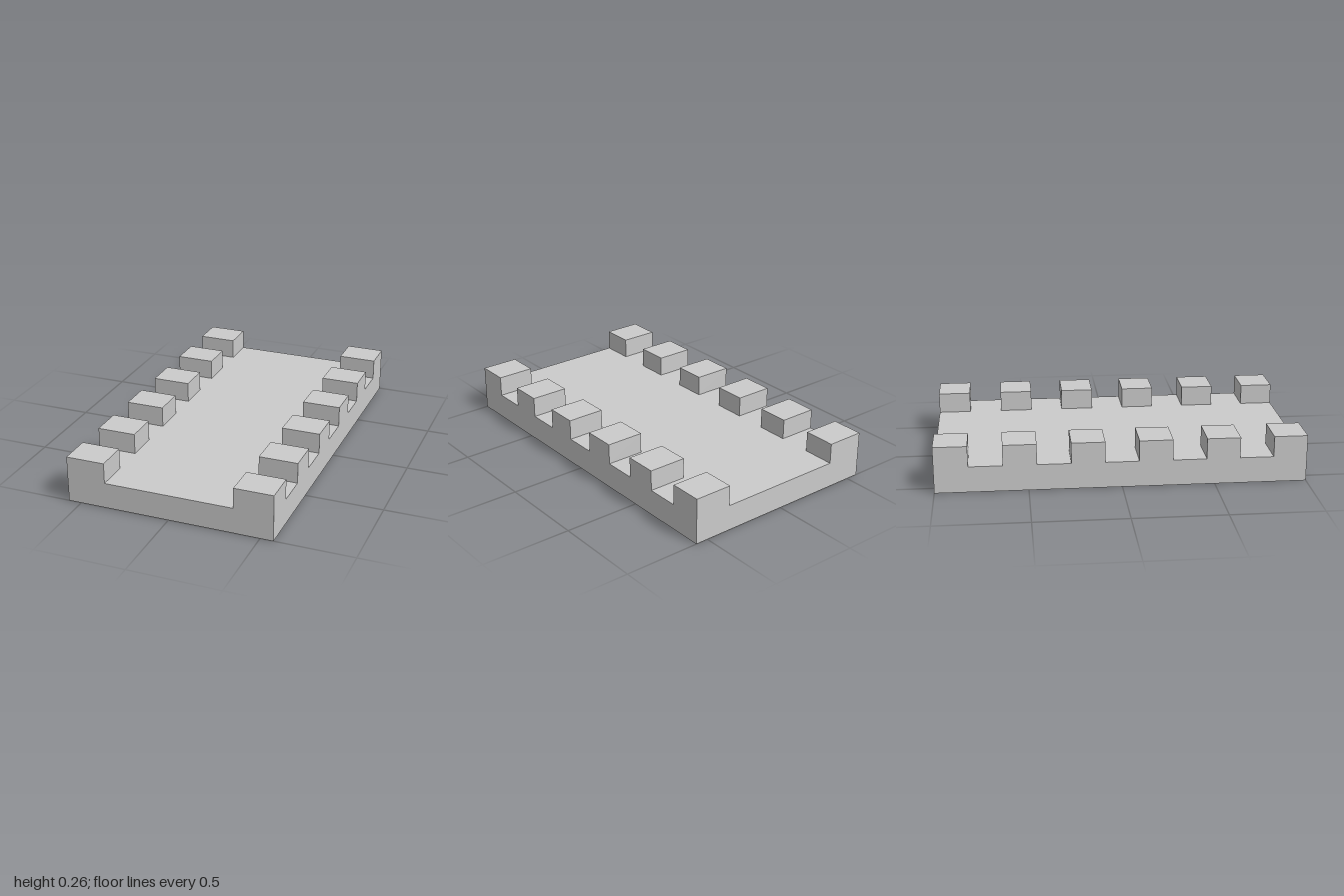
import * as THREE from 'three';
import { mergeGeometries } from 'three/addons/utils/BufferGeometryUtils.js';

// Grid planes: side rows, deck, side rows / base, blocks / 11 equal bays
const xs = [-0.5714, -0.357, 0.357, 0.5714];
const ys = [0, 0.1429, 0.2571];
const zs = Array.from({ length: 12 }, (_, i) => -1 + (2 * i) / 11);

// The base fills the lower layer; blocks stand on every other bay of both side rows
function solid(i, j, k) {
  if (i < 0 || i > 2 || k < 0 || k > 10) return false;
  return j === 0 || (j === 1 && i !== 1 && k % 2 === 0);
}

// Outward quad facing along +axis or -axis of one grid cell
function face(min, max, axis, sign) {
  const size = max.clone().sub(min);
  const centre = min.clone().add(max).multiplyScalar(0.5);
  const turn = sign > 0 ? 1 : -1;
  let quad;
  if (axis === 'x') quad = new THREE.PlaneGeometry(size.z, size.y).rotateY((turn * Math.PI) / 2);
  else if (axis === 'y') quad = new THREE.PlaneGeometry(size.x, size.z).rotateX((-turn * Math.PI) / 2);
  else quad = new THREE.PlaneGeometry(size.x, size.y).rotateY(turn > 0 ? 0 : Math.PI);
  centre[axis] = sign > 0 ? max[axis] : min[axis];
  return quad.translate(centre.x, centre.y, centre.z);
}

export function createModel() {
  const group = new THREE.Group();
  group.name = 'notchedTray';

  // One closed skin: only faces between solid and empty cells are kept
  const faces = [];
  for (let i = 0; i < 3; i++) for (let j = 0; j < 2; j++) for (let k = 0; k < 11; k++) {
    if (!solid(i, j, k)) continue;
    const min = new THREE.Vector3(xs[i], ys[j], zs[k]);
    const max = new THREE.Vector3(xs[i + 1], ys[j + 1], zs[k + 1]);
    for (const s of [-1, 1]) {
      if (!solid(i + s, j, k)) faces.push(face(min, max, 'x', s));
      if (!solid(i, j + s, k)) faces.push(face(min, max, 'y', s));
      if (!solid(i, j, k + s)) faces.push(face(min, max, 'z', s));
    }
  }

  const mesh = new THREE.Mesh(
    mergeGeometries(faces),
    new THREE.MeshStandardMaterial({ color: 0xcccccc, flatShading: true })
  );
  mesh.name = 'baseWithSideBlocks';
  group.add(mesh);
  return group;
}
